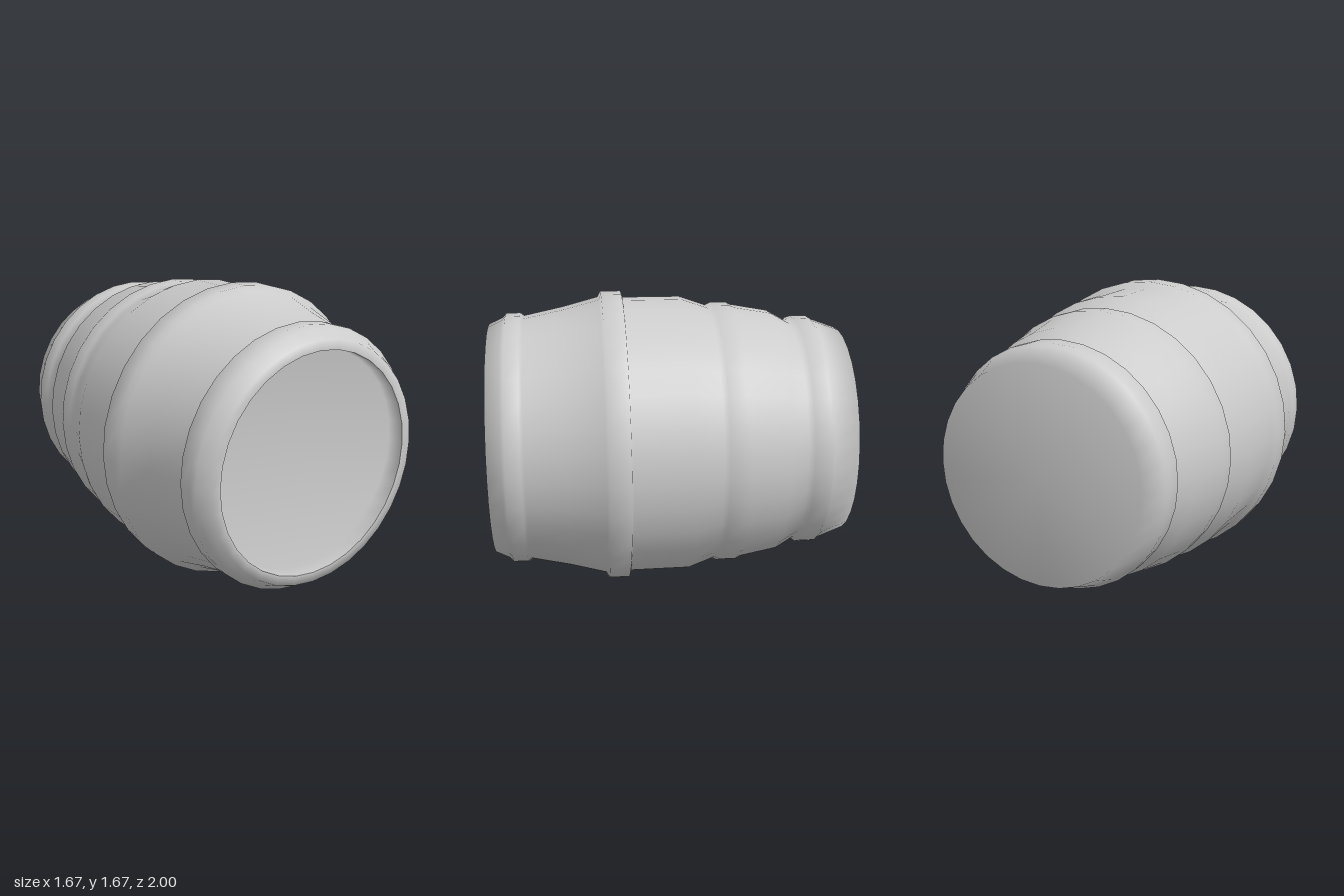
import * as THREE from 'three';

const SIDES = 32;
const AXIS_HEIGHT = 0.833;

// Revolves [radius, z] pairs (back to front) around the barrel's lengthwise axis.
function revolve(name, profile) {
  const points = profile.map(([r, z]) => new THREE.Vector2(r, z));
  const geometry = new THREE.LatheGeometry(points, SIDES).rotateX(Math.PI / 2);
  const mesh = new THREE.Mesh(geometry, new THREE.MeshStandardMaterial({ color: 0xcccccc }));
  mesh.name = name;
  mesh.position.y = AXIS_HEIGHT;
  return mesh;
}

// A raised hoop: foot, crest, crest, foot.
const hoop = (backFoot, back, front, frontFoot, crest) => [
  backFoot, [crest, back], [crest, front], frontFoot,
];

export function createModel() {
  const group = new THREE.Group();
  group.name = 'barrel';

  // Closed back, bulging staves with four hoops, and the front lip
  group.add(revolve('barrelBody', [
    [0, -1],
    [0.597, -1],
    ...hoop([0.652, -0.85], -0.83, -0.74, [0.642, -0.71], 0.668),
    [0.704, -0.6],
    ...hoop([0.742, -0.39], -0.36, -0.27, [0.742, -0.24], 0.757),
    [0.795, -0.09],
    ...hoop([0.797, 0.24], 0.25, 0.365, [0.802, 0.38], 0.833),
    [0.75, 0.58],
    ...hoop([0.704, 0.8], 0.82, 0.9, [0.697, 0.92], 0.72),
    [0.66, 1],
    [0.607, 1],
  ]));

  // Recessed head inside the front lip
  group.add(revolve('frontHead', [
    [0.607, 1],
    [0.605, 0.9],
    [0, 0.9],
  ]));

  return group;
}
